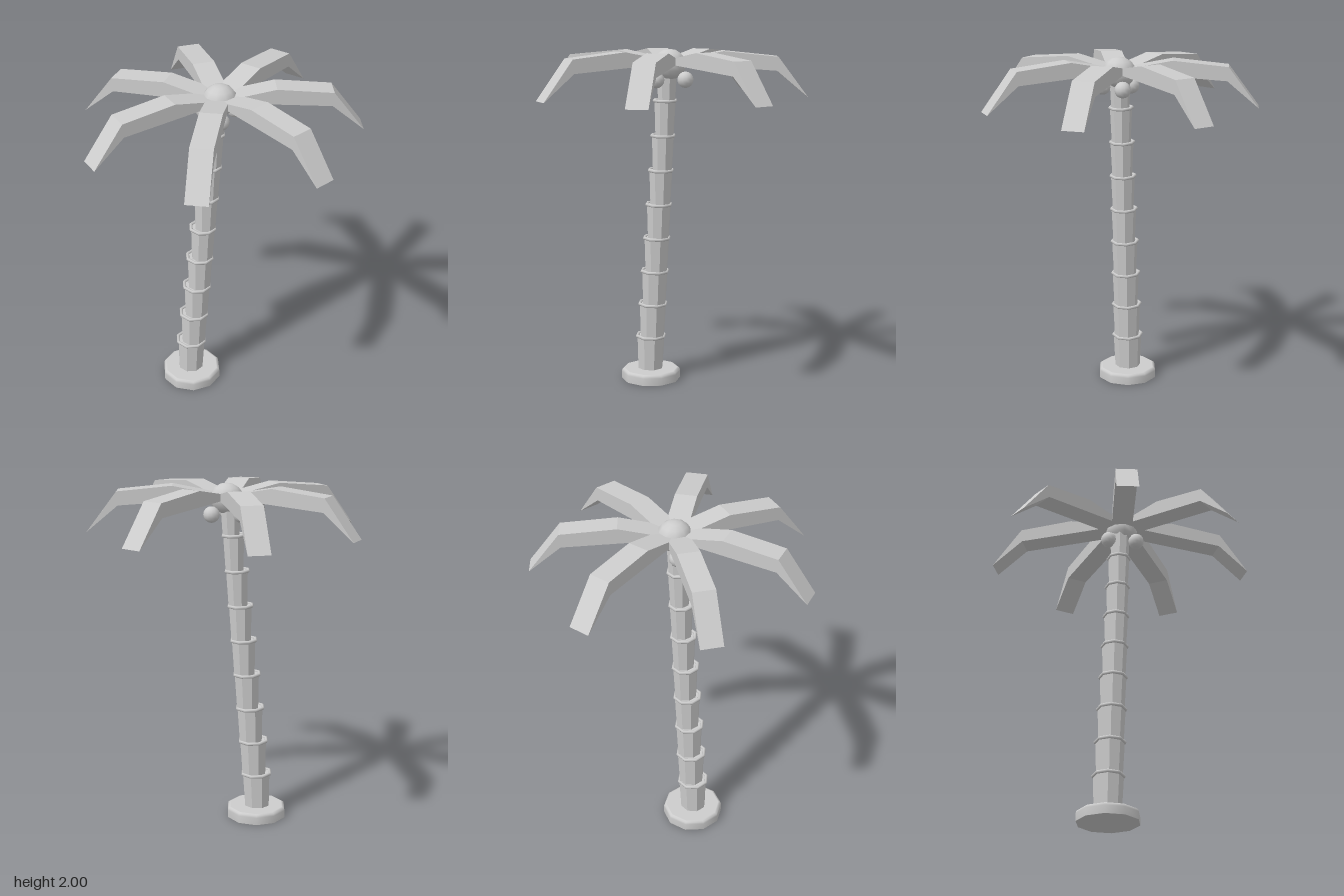
import * as THREE from 'three';

const grey = new THREE.MeshStandardMaterial({ color: 0xcccccc });
grey.name = 'plain grey';
const greyFlat = new THREE.MeshStandardMaterial({ color: 0xcccccc, flatShading: true });
greyFlat.name = 'plain grey faceted';

function add(parent, name, geometry, material, x = 0, y = 0, z = 0) {
  const mesh = new THREE.Mesh(geometry, material);
  mesh.name = name;
  mesh.position.set(x, y, z);
  parent.add(mesh);
  return mesh;
}

// Low ten-sided foot with a softened upper rim
function buildBase(parent) {
  const profile = [
    [0, 0], [0.177, 0], [0.178, 0.001], [0.178, 0.045], [0.174, 0.058],
    [0.164, 0.064], [0.16, 0.065], [0, 0.065],
  ].map(([r, y]) => new THREE.Vector2(r, y));
  add(parent, 'base', new THREE.LatheGeometry(profile, 10), grey, -0.21);
}

// Leaning trunk: stepped flaring segments, each capped by a thin ring
function buildTrunk(parent) {
  const trunk = new THREE.Group();
  trunk.name = 'trunk';
  const count = 9, step = 0.205;
  for (let i = 0; i < count; i++) {
    const x = -0.212 + 0.0198 * i;
    const bottom = 0.062 + step * i;
    const radius = 0.085 - 0.003 * i;
    const segment = new THREE.CylinderGeometry(radius, radius - 0.009, step, 8);
    segment.rotateY(Math.PI / 8);
    add(trunk, 'trunkSegment', segment, greyFlat, x, bottom + step / 2).rotation.z = -0.03;
    if (i < count - 1) {
      const ring = new THREE.TorusGeometry(radius, 0.01, 6, 8);
      ring.rotateX(Math.PI / 2);
      ring.rotateY(Math.PI / 8);
      add(trunk, 'trunkRing', ring, grey, x + 0.002, bottom + step).rotation.z = -0.03;
    }
  }
  parent.add(trunk);
}

// Frond: side profile of a bent, pointed leaf extruded to its width
function frondGeometry() {
  const width = 0.125;
  const shape = new THREE.Shape([
    [0.03, 1.92], [0.61, 1.878], [0.79, 1.727], [0.617, 1.957], [0.305, 1.989], [0.03, 1.935],
  ].map(([r, y]) => new THREE.Vector2(r, y)));
  const geometry = new THREE.ExtrudeGeometry(shape, { depth: width, bevelEnabled: false });
  geometry.translate(0, 0, -width / 2);
  return geometry;
}

// Crown knob, ring of fronds and three nuts around one axis
function buildCrown(parent) {
  const crown = new THREE.Group();
  crown.name = 'crown';
  crown.position.x = -0.03;
  const knob = add(crown, 'crownKnob', new THREE.SphereGeometry(0.097, 10, 8), grey, 0, 1.912);
  knob.scale.y = 0.9;

  const leaf = frondGeometry();
  for (let i = 0; i < 7; i++) {
    add(crown, 'frond', leaf, greyFlat).rotation.y = (i / 7) * Math.PI * 2;
  }

  const nut = new THREE.SphereGeometry(0.047, 12, 8);
  for (let i = 0; i < 3; i++) {
    const a = (i / 3) * Math.PI * 2;
    add(crown, 'nut', nut, grey, 0.097 * Math.sin(a), 1.826, 0.097 * Math.cos(a));
  }
  parent.add(crown);
}

export function createModel() {
  const model = new THREE.Group();
  model.name = 'palmTree';
  buildBase(model);
  buildTrunk(model);
  buildCrown(model);
  return model;
}
